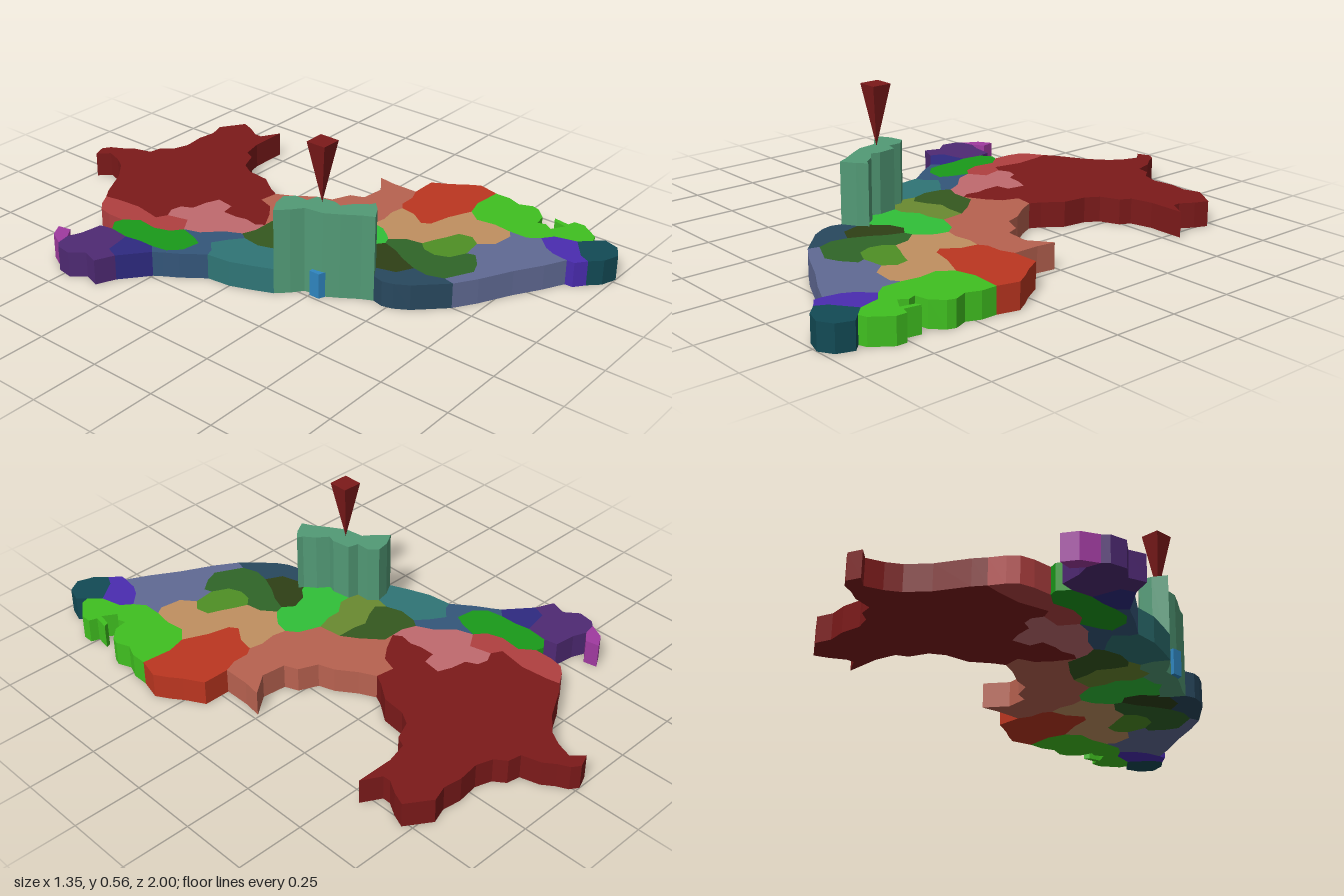
import * as THREE from 'three';

const SLAB = 0.095; // thickness of an ordinary region
const TALL = 0.32;  // height of the raised region

// Extrudes an outline of x, z pairs (in hundredths of a unit) upward from the ground
function region(name, color, outline, height = SLAB) {
  const points = [];
  for (let i = 0; i < outline.length; i += 2) {
    points.push(new THREE.Vector2(outline[i] / 100, outline[i + 1] / 100));
  }
  const geometry = new THREE.ExtrudeGeometry(new THREE.Shape(points), { depth: height, bevelEnabled: false });
  geometry.rotateX(Math.PI / 2).translate(0, height, 0);
  const mesh = new THREE.Mesh(geometry, new THREE.MeshStandardMaterial({ color }));
  mesh.name = name;
  return mesh;
}

export function createModel() {
  const model = new THREE.Group();
  model.name = 'regionMap';
  const map = new THREE.Group();
  map.name = 'regions';
  model.add(map);
  const add = (...args) => map.add(region(...args));

  // Northern regions
  add('northEastRegion', 0x7c1a1a, [
    -2, -100, 1, -98, 3, -94, 6, -90, 8, -83, 13, -82, 16, -78, 22, -76, 30, -77, 37, -76, 43, -78,
    52, -72, 50, -67, 47, -62, 47, -59, 54, -55, 40, -55, 32, -53, 30, -49, 23, -46, 20, -41, 19, -32,
    14, -25, 12, -21, 5, -22, 3, -16, -2, -12, -9, -8, -11, -11, -10, -16, -11, -20, -11, -26, -6, -27,
    -5, -34, -10, -36, -16, -37, -18, -41, -22, -42, -26, -40, -30, -42, -28, -53, -29, -63, -30, -68,
    -26, -71, -15, -77, -8, -83, -5, -88, -3, -94, -7, -98]);
  add('northRedRegion', 0xb04040, [
    -30, -68, -29, -63, -28, -53, -30, -42, -26, -40, -24, -32, -30, -28, -34, -31, -36, -37,
    -35, -45, -39, -50, -39, -57, -38, -62, -35, -65]);
  add('northPinkRegion', 0xc06a6e, [
    -26, -40, -22, -42, -18, -41, -16, -37, -10, -36, -5, -34, -6, -27, -11, -26, -11, -20, -10, -16,
    -11, -11, -9, -8, -14, -8, -19, -10, -22, -16, -28, -22, -30, -28, -24, -32]);
  add('northWestTip', 0xa03aa0, [-64, -57, -62, -61, -57, -64, -56, -59, -60, -56, -65, -55]);
  add('northWestRegion', 0x4f2a74, [
    -65, -55, -60, -56, -55, -54, -47, -53, -46, -48, -47, -40, -52, -39, -57, -38, -59, -33,
    -66, -36, -64, -42, -68, -47, -67, -53]);
  add('northCoastRegion', 0x2e2a80, [
    -47, -40, -52, -39, -57, -38, -59, -33, -54, -29, -49, -25, -46, -28, -46, -34]);
  add('northGreenRegion', 0x1a9a1a, [
    -39, -50, -35, -45, -36, -37, -34, -31, -30, -28, -32, -21, -34, -17, -41, -18, -45, -22,
    -46, -28, -46, -34, -47, -40, -46, -48, -42, -51]);

  // West coast regions
  add('blueCoastRegion', 0x34567a, [
    -49, -25, -46, -28, -45, -22, -41, -18, -34, -17, -32, -21, -30, -28, -28, -22, -22, -16,
    -19, -10, -21, -7, -26, -11, -31, -14, -35, -10, -38, -9, -44, -17, -47, -22]);
  add('tealCoastRegion', 0x2f7576, [
    -38, -9, -35, -10, -31, -14, -26, -11, -21, -7, -22, 0, -20, 6, -21, 11, -26, 12, -31, 15,
    -34, 8, -37, 0]);
  add('raisedCoastRegion', 0x529a76, [
    -31, 15, -26, 12, -21, 11, -18, 14, -18, 19, -14, 20, -13, 27, -14, 30, -10, 33, -7, 37, -5, 38,
    -8, 41, -13, 44, -15, 40, -19, 34, -22, 29, -23, 22, -27, 19], TALL);
  add('smallCoastRegion', 0x2f86c0, [-24, 25, -22, 25, -21, 30, -24, 29]);
  add('southCoastRegion', 0x28485e, [
    -13, 44, -8, 41, -6, 48, 0, 51, -1, 57, 1, 63, 0, 67, -5, 62, -10, 57, -13, 52, -14, 48]);

  // Central regions
  add('centralDarkGreenRegion', 0x35581f, [
    -21, -7, -19, -10, -14, -8, -9, -8, -5, -8, 1, -1, 5, 5, -2, 5, -7, 4, -12, 7, -17, 9,
    -20, 6, -22, 0]);
  add('centralOliveRegion', 0x6a8a30, [
    -20, 6, -17, 9, -12, 7, -7, 4, -2, 5, 5, 5, 6, 14, 0, 16, -5, 16, -10, 20, -14, 20, -18, 19,
    -18, 14, -21, 11]);
  add('centralBrightGreenRegion', 0x30c038, [
    -14, 20, -10, 20, -5, 16, 0, 16, 6, 14, 14, 17, 17, 21, 16, 26, 13, 30, 11, 32, 8, 33, 4, 30,
    -2, 32, -5, 36, -7, 37, -10, 33, -14, 30, -13, 27]);
  add('eastSalmonRegion', 0xb86250, [
    5, -22, 12, -21, 15, -15, 20, -8, 22, -2, 29, 1, 31, 6, 40, 7, 44, 4, 48, 1, 47, 8, 47, 18,
    42, 20, 36, 20, 33, 22, 28, 21, 22, 22, 17, 21, 14, 17, 6, 14, 5, 5, 1, -1, -5, -8, -9, -8,
    -2, -12, 3, -16]);
  add('darkOliveRegion', 0x2e4016, [
    -7, 37, -5, 36, -2, 32, 4, 30, 8, 33, 6, 39, 3, 44, 0, 51, -6, 48, -8, 41, -5, 38]);

  // Southern regions
  add('southGreenRegion', 0x2f6528, [
    8, 33, 11, 32, 15, 37, 16, 43, 13, 46, 12, 51, 14, 56, 20, 59, 21, 62, 16, 66, 11, 68, 5, 65,
    1, 63, -1, 57, 0, 51, 3, 44, 6, 39]);
  add('southLightGreenRegion', 0x4f9025, [
    16, 43, 21, 45, 25, 47, 30, 49, 31, 54, 28, 58, 20, 59, 14, 56, 12, 51, 13, 46]);
  add('southTanRegion', 0xc09060, [
    17, 21, 22, 22, 28, 21, 33, 22, 32, 28, 28, 34, 30, 37, 38, 39, 47, 43, 43, 48, 44, 55, 43, 62,
    40, 64, 32, 63, 28, 58, 31, 54, 30, 49, 25, 47, 21, 45, 16, 43, 15, 37, 11, 32, 13, 30, 16, 26]);
  add('eastOrangeRegion', 0xbc3620, [
    33, 22, 36, 20, 42, 20, 47, 18, 57, 18, 61, 25, 64, 29, 67, 34, 65, 42, 54, 41, 47, 43, 38, 39,
    30, 37, 28, 34, 32, 28]);
  add('southEastRegion', 0x40c020, [
    47, 43, 54, 41, 65, 42, 65, 48, 63, 53, 65, 58, 64, 61, 60, 65, 55, 66, 56, 69, 54, 72, 59, 75,
    60, 70, 62, 69, 61, 75, 64, 76, 64, 80, 59, 87, 56, 88, 52, 84, 50, 76, 46, 73, 43, 69, 43, 62,
    44, 55, 43, 48]);
  add('southSlateRegion', 0x606a94, [
    0, 67, 1, 63, 5, 65, 11, 68, 16, 66, 21, 62, 20, 59, 28, 58, 32, 63, 40, 64, 43, 62, 43, 69,
    46, 73, 41, 78, 39, 82, 38, 88, 30, 84, 20, 78, 8, 72]);
  add('southPurpleRegion', 0x4a2cb0, [
    46, 73, 50, 76, 52, 84, 48, 87, 44, 90, 42, 94, 38, 91, 38, 88, 39, 82, 41, 78]);
  add('southTip', 0x124a55, [
    42, 94, 44, 90, 48, 87, 52, 84, 56, 88, 59, 91, 57, 97, 52, 100, 46, 98]);

  // Inverted square pyramid pointing at the raised region
  const markerGeometry = new THREE.ConeGeometry(0.053, 0.225, 4, 1).rotateY(Math.PI / 4).rotateX(Math.PI);
  const marker = new THREE.Mesh(markerGeometry,
    new THREE.MeshStandardMaterial({ color: 0x7c1a1a, flatShading: true }));
  marker.name = 'pointerMarker';
  marker.position.set(-0.175, 0.443, 0.25);
  model.add(marker);

  return model;
}
